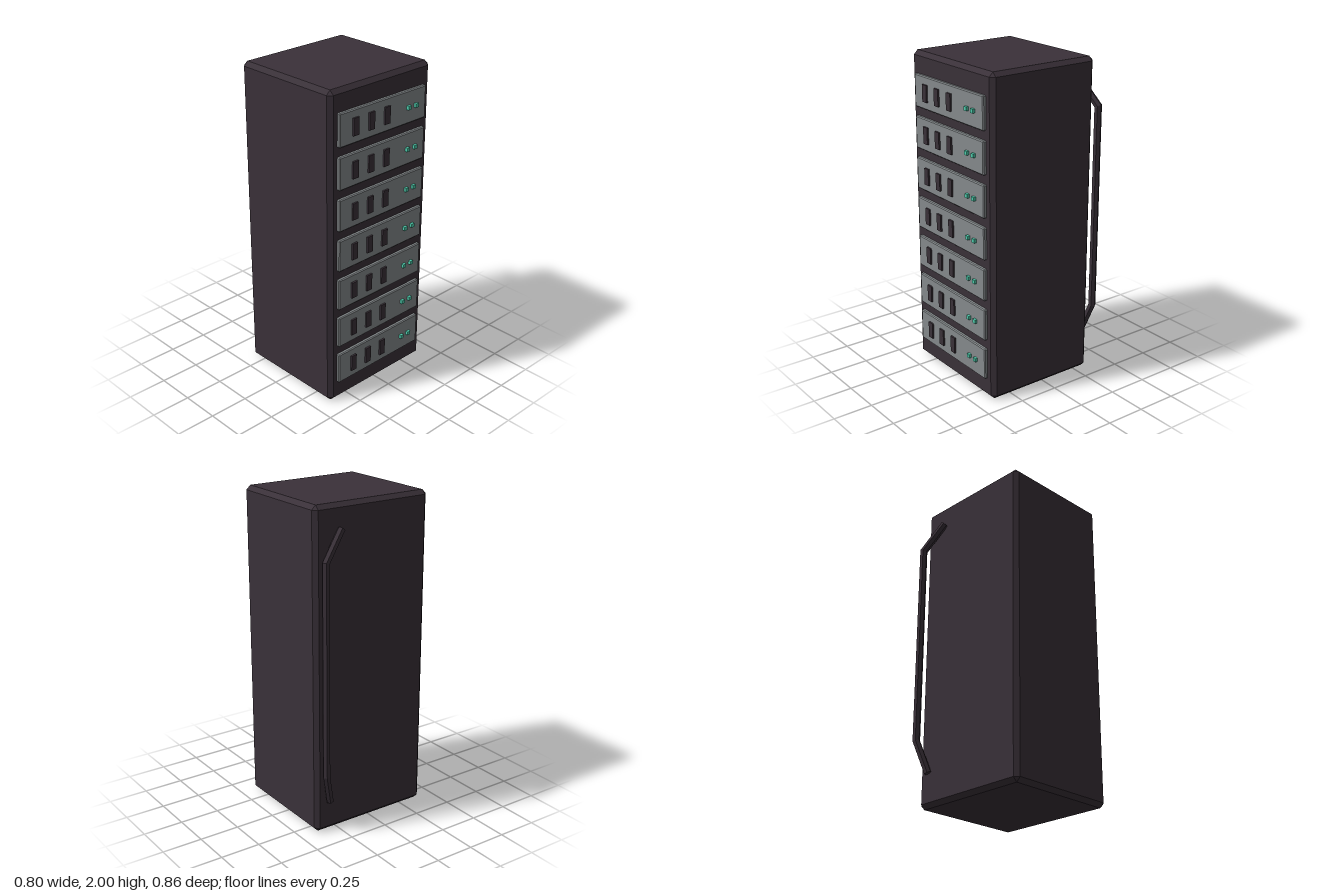
import * as THREE from 'three';
import { ConvexGeometry } from 'three/addons/geometries/ConvexGeometry.js';

const mat = (name, color) => {
  const m = new THREE.MeshStandardMaterial({ color });
  m.name = name;
  return m;
};

// Box with a flat chamfer c along every edge
function chamferBox(w, h, d, c) {
  const pts = [];
  for (const x of [-w / 2, w / 2]) for (const y of [-h / 2, h / 2]) for (const z of [-d / 2, d / 2]) {
    const sx = Math.sign(x) * c, sy = Math.sign(y) * c, sz = Math.sign(z) * c;
    pts.push(new THREE.Vector3(x, y - sy, z - sz), new THREE.Vector3(x - sx, y, z - sz), new THREE.Vector3(x - sx, y - sy, z));
  }
  return new ConvexGeometry(pts);
}

// Capped, faceted tube along a bent path, mitred at the bends
function mitredTube(path, radius, sides) {
  const n = path.length;
  const dirs = path.slice(1).map((p, i) => p.clone().sub(path[i]).normalize());
  const u = new THREE.Vector3(0, 0, 1).cross(dirs[0]).normalize();
  const v = dirs[0].clone().cross(u);
  let ring = [];
  for (let k = 0; k < sides; k++) {
    const a = (k / sides) * Math.PI * 2;
    ring.push(path[0].clone().addScaledVector(u, radius * Math.cos(a)).addScaledVector(v, radius * Math.sin(a)));
  }
  const rings = [ring];
  for (let i = 1; i < n; i++) {
    const d = dirs[i - 1];
    const normal = i < n - 1 ? d.clone().add(dirs[i]).normalize() : d;
    ring = ring.map(p => p.clone().addScaledVector(d, path[i].clone().sub(p).dot(normal) / d.dot(normal)));
    rings.push(ring);
  }
  const out = [];
  const tri = (...ps) => ps.forEach(p => out.push(p.x, p.y, p.z));
  for (let k = 0; k < sides; k++) {
    const m = (k + 1) % sides;
    for (let i = 0; i < n - 1; i++) {
      const [a, b, c, d] = [rings[i][k], rings[i][m], rings[i + 1][m], rings[i + 1][k]];
      tri(a, b, c);
      tri(a, c, d);
    }
    tri(path[0], rings[0][m], rings[0][k]);
    tri(path[n - 1], rings[n - 1][k], rings[n - 1][m]);
  }
  const g = new THREE.BufferGeometry();
  g.setAttribute('position', new THREE.Float32BufferAttribute(out, 3));
  g.computeVertexNormals();
  return g;
}

export function createModel() {
  const root = new THREE.Group();
  root.name = 'serverRack';
  const dark = mat('darkCasing', 0x3a3139);
  const grey = mat('greyPanel', 0x858a8c);
  const teal = mat('tealLight', 0x4fcdad);

  const add = (parent, name, geo, material, x, y, z) => {
    const m = new THREE.Mesh(geo, material);
    m.name = name;
    m.position.set(x, y, z);
    parent.add(m);
  };

  // Cabinet
  add(root, 'cabinet', chamferBox(0.8, 2, 0.738, 0.026), dark, 0, 1, 0.024);

  // Seven server units, each with three slots and two lights
  const panel = chamferBox(0.688, 0.2, 0.03, 0.006);
  const slot = new THREE.BoxGeometry(0.042, 0.104, 0.02);
  const light = new THREE.BoxGeometry(0.024, 0.024, 0.026);
  for (let i = 0; i < 7; i++) {
    const unit = new THREE.Group();
    unit.name = `serverUnit${i + 1}`;
    unit.position.set(0, 0.23 + i * 0.2565, 0);
    add(unit, 'panel', panel, grey, -0.001, 0, 0.398);
    for (const x of [-0.228, -0.105, 0.019]) add(unit, 'slot', slot, dark, x, 0, 0.414);
    for (const x of [0.194, 0.256]) add(unit, 'statusLight', light, teal, x, 0, 0.417);
    root.add(unit);
  }

  // Cable running down the back, near the left edge
  const path = [[0.228, 1.855, -0.358], [0.368, 1.69, -0.406], [0.368, 0.4, -0.406], [0.31, 0.2, -0.358]]
    .map(p => new THREE.Vector3(...p));
  add(root, 'cable', mitredTube(path, 0.023, 6), dark, 0, 0, 0);

  return root;
}
